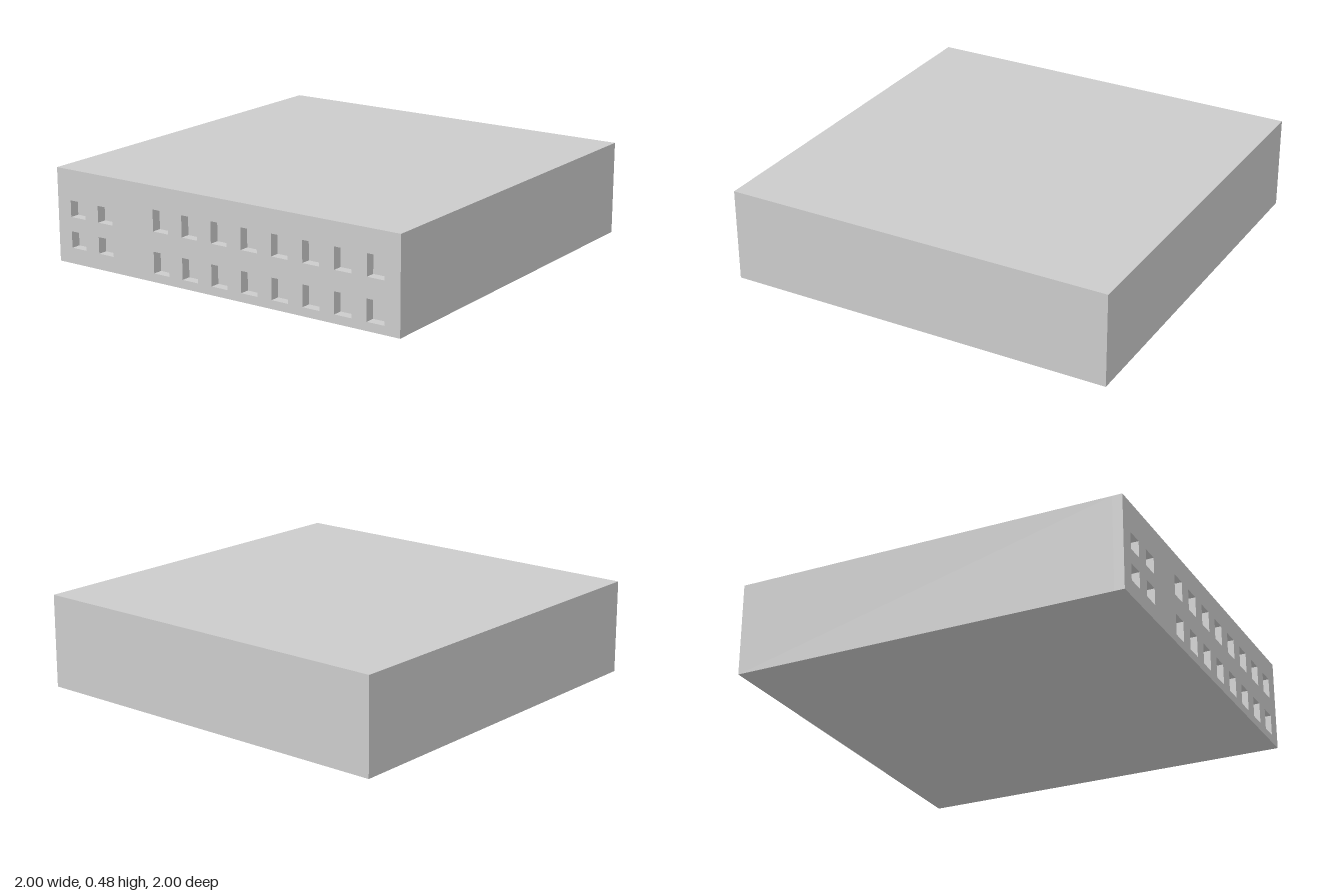
import * as THREE from 'three';

const W = 2, H = 0.476, D = 2, RECESS = 0.05;

// Rectangular hole outline centred on (x, y)
function portHole(x, y, w, h) {
  const p = new THREE.Path();
  p.moveTo(x - w / 2, y - h / 2);
  p.lineTo(x - w / 2, y + h / 2);
  p.lineTo(x + w / 2, y + h / 2);
  p.lineTo(x + w / 2, y - h / 2);
  p.closePath();
  return p;
}

export function createModel() {
  const group = new THREE.Group();
  group.name = 'portBox';
  const material = new THREE.MeshStandardMaterial({ color: 0xcccccc, flatShading: true });

  // Solid housing; its front face is the floor of the recesses
  const housing = new THREE.Mesh(new THREE.BoxGeometry(W, H, D - RECESS), material);
  housing.name = 'housing';
  housing.position.set(0, H / 2, -RECESS / 2);
  group.add(housing);

  // Front panel pierced by the ports
  const panel = new THREE.Shape();
  panel.moveTo(-W / 2, 0);
  panel.lineTo(W / 2, 0);
  panel.lineTo(W / 2, H);
  panel.lineTo(-W / 2, H);
  panel.closePath();

  // Two rows of eight tall ports
  for (const y of [0.097, 0.305])
    for (let i = 0; i < 8; i++) panel.holes.push(portHole(-0.35 + i * 0.1743, y, 0.093, 0.108));

  // Two rows of two shorter ports
  for (const y of [0.122, 0.279])
    for (const x of [-0.872, -0.697]) panel.holes.push(portHole(x, y, 0.093, 0.084));

  const front = new THREE.Mesh(
    new THREE.ExtrudeGeometry(panel, { depth: RECESS, bevelEnabled: false }), material);
  front.name = 'frontPanel';
  front.position.z = D / 2 - RECESS;
  group.add(front);

  return group;
}
